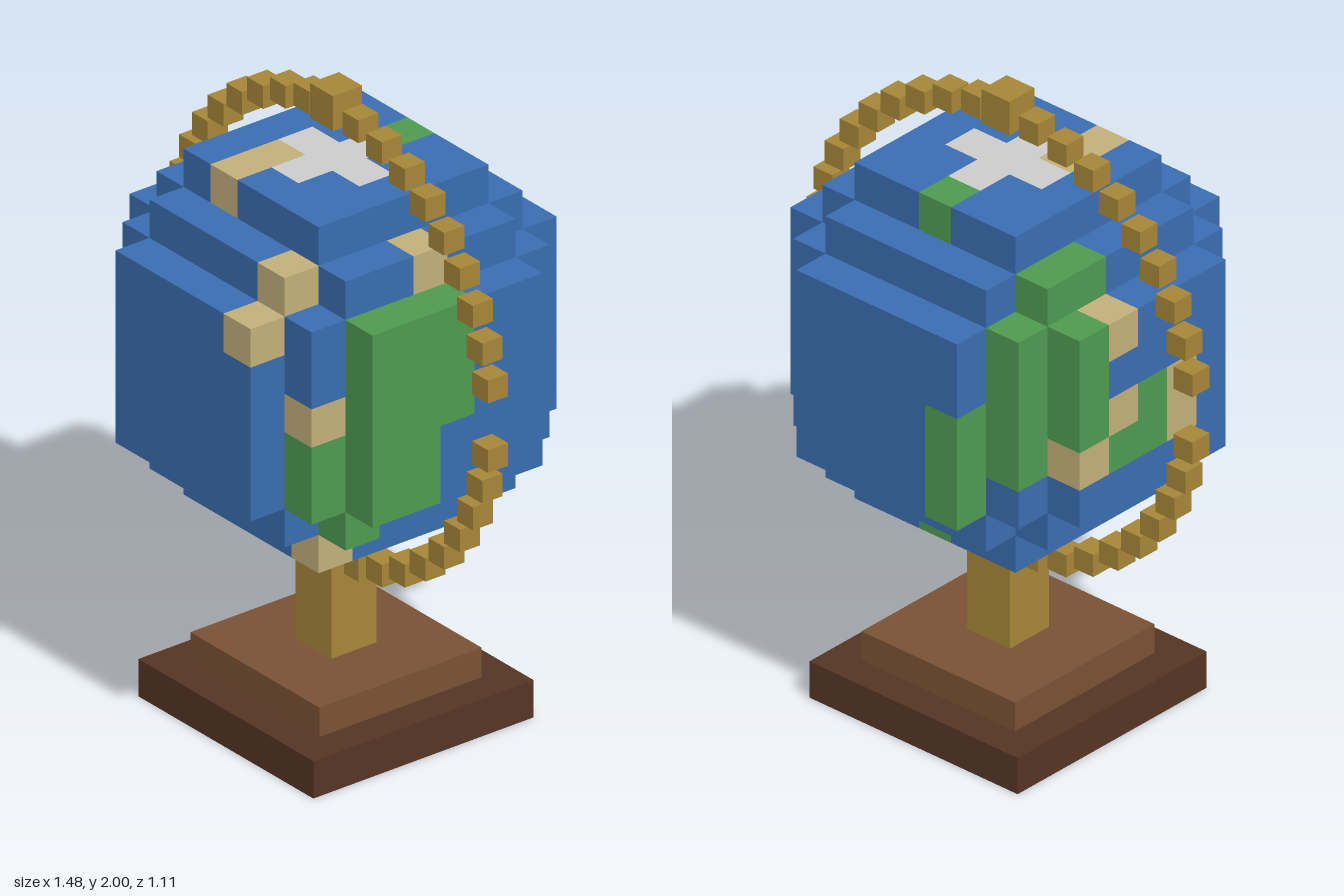
import * as THREE from 'three';
import { mergeGeometries } from 'three/addons/utils/BufferGeometryUtils.js';

const VOXEL = 0.1235, CENTER_Y = 1.212, RING_RADIUS = 0.7135;

const material = (color) => new THREE.MeshStandardMaterial({ color, flatShading: true });
const COLORS = { sea: 0x3a6db0, land: 0x4e9a50, sand: 0xc2b07a, ice: 0xcccccc };

// A block of voxels; each axis is one step or a [low, high] span from the globe centre
const block = (...axes) => {
  const spans = axes.map((a) => [a].flat());
  return (p) => spans.every((s, i) => p.getComponent(i) >= s[0] && p.getComponent(i) <= s.at(-1));
};

const LAND = [
  // continent on the +x side
  block(4, [0, 2], [0, 2]), block(4, [-2, -1], [1, 2]),
  block(3, [-2, -1], 3), block(3, -3, 2),
  // continent on the back and -x side
  block(-2, [-2, 0], -4), block(-3, [-1, 2], -3), block(-3, 3, [-2, -1]),
  block(-4, [0, 2], -2), block(-4, -1, [-1, 0]), block(-4, 0, 0),
];

const SAND = [
  // shores near the +x continent
  block(3, 0, 3), block(3, 3, 0), block(2, 3, 3), block(2, 2, 4), block(2, -4, 2),
  // shores near the -x continent and the top
  block(-4, -1, -2), block(-4, 2, -1), block(-4, 0, -1), block(-4, [-1, 0], 1), block(-1, 4, [1, 2]),
];

const inside = (p) => p.lengthSq() < 25;

function kindAt(p) {
  const polar = Math.abs(p.y) === 4;
  if (polar && Math.abs(p.x) + Math.abs(p.z) <= 1) return 'ice';
  if (polar && p.x === 0 && p.z === -2) return 'land';
  if (LAND.some((has) => has(p))) return 'land';
  return SAND.some((has) => has(p)) ? 'sand' : 'sea';
}

// Voxel ball: only the exposed faces, gathered by colour
function createGlobe() {
  const globe = new THREE.Group();
  globe.name = 'globe';
  const faces = { sea: [], land: [], sand: [], ice: [] };
  const forward = new THREE.Vector3(0, 0, 1);
  const directions = [0, 1, 2].flatMap((axis) => [1, -1].map((s) => new THREE.Vector3().setComponent(axis, s)));
  for (let x = -4; x <= 4; x++) for (let y = -4; y <= 4; y++) for (let z = -4; z <= 4; z++) {
    const p = new THREE.Vector3(x, y, z);
    if (!inside(p)) continue;
    for (const d of directions) {
      if (inside(p.clone().add(d))) continue;
      const face = new THREE.PlaneGeometry(VOXEL, VOXEL);
      face.applyQuaternion(new THREE.Quaternion().setFromUnitVectors(forward, d));
      const c = p.clone().addScaledVector(d, 0.5).multiplyScalar(VOXEL);
      face.translate(c.x, c.y, c.z);
      faces[kindAt(p)].push(face);
    }
  }
  for (const kind in faces) {
    const mesh = new THREE.Mesh(mergeGeometries(faces[kind]), material(COLORS[kind]));
    mesh.name = kind;
    globe.add(mesh);
  }
  globe.position.y = CENTER_Y;
  return globe;
}

export function createModel() {
  const model = new THREE.Group();
  model.name = 'deskGlobe';
  const brass = material(0xa68638);

  const box = (name, width, height, x, y, mat, parent = model) => {
    const mesh = new THREE.Mesh(new THREE.BoxGeometry(width, height, width), mat);
    mesh.name = name;
    mesh.position.set(x, y, 0);
    parent.add(mesh);
  };

  // Stand
  box('basePlate', 0.8, 0.12, 0, 0.06, material(0x553525));
  box('baseStep', 0.59, 0.095, 0, 0.1675, material(0x7a5234));
  box('post', 0.165, 0.35, 0, 0.39, brass);

  model.add(createGlobe());

  // Ring of small cubes, open at both sides where the equator passes
  const ring = new THREE.Group();
  ring.name = 'meridianRing';
  model.add(ring);
  for (let i = 0; i < 40; i++) {
    if (i % 20 === 0) continue;
    const a = (i / 40) * Math.PI * 2;
    box('ringCube', 0.073, 0.073, Math.cos(a) * RING_RADIUS, CENTER_Y + 0.003 + Math.sin(a) * RING_RADIUS, brass, ring);
  }
  box('topKnob', 0.106, 0.112, 0, 1.944, brass);

  return model;
}
